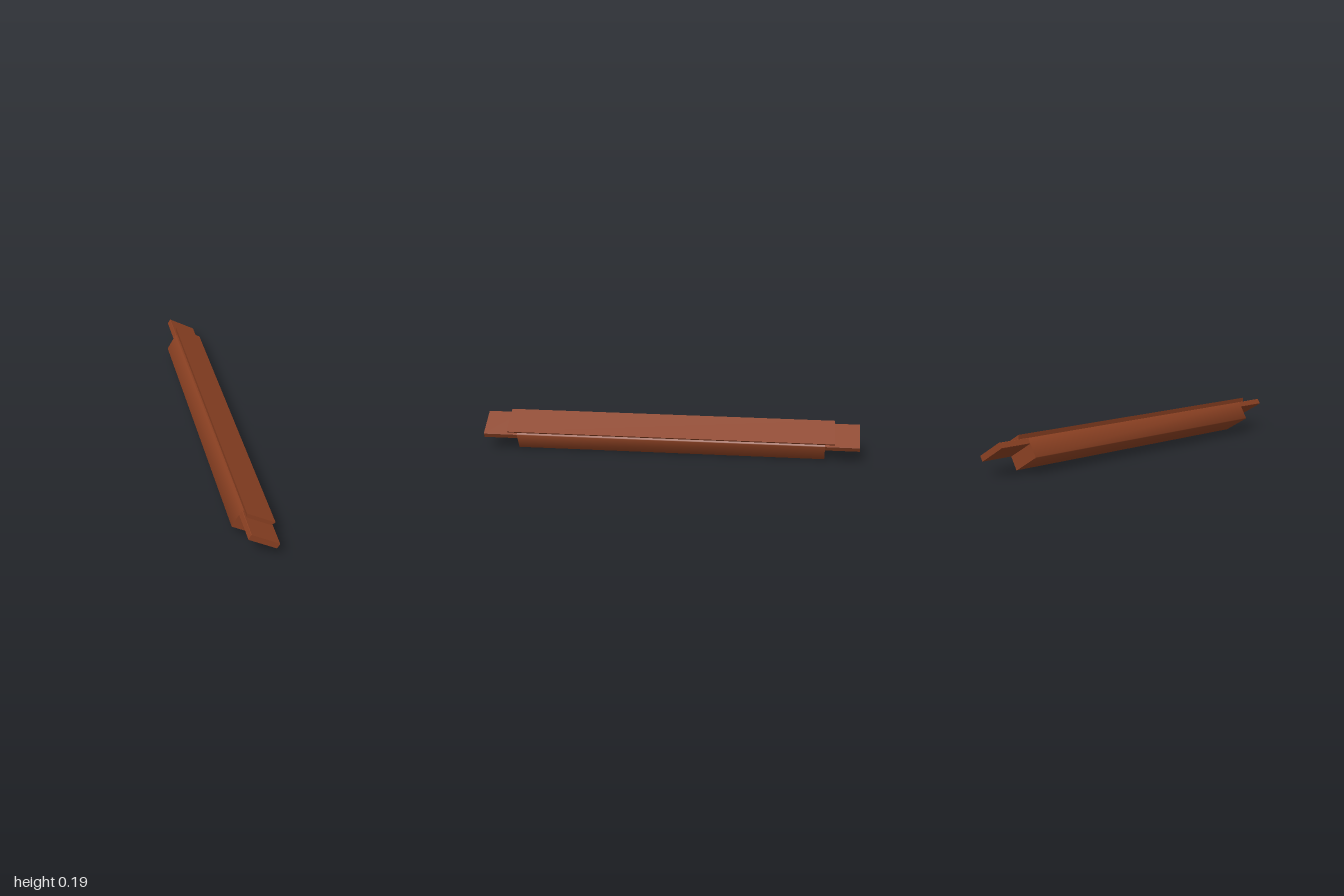
import * as THREE from 'three';
import { toCreasedNormals } from 'three/addons/utils/BufferGeometryUtils.js';

const wood = new THREE.MeshStandardMaterial({ color: 0x8a4022 });
wood.name = 'brown wood';

// Prism along z from a list of cross-section corners
function prism(name, points, z0, z1, crease) {
  const shape = new THREE.Shape(points.map(([x, y]) => new THREE.Vector2(x, y)));
  const raw = new THREE.ExtrudeGeometry(shape, { depth: z1 - z0, bevelEnabled: false });
  raw.translate(0, 0, z0);
  const mesh = new THREE.Mesh(toCreasedNormals(raw, crease), wood);
  mesh.name = name;
  return mesh;
}

// Rectangle with chamfered corners
function chamfered(x0, x1, y0, y1, c) {
  return [
    [x0 + c, y0], [x1 - c, y0], [x1, y0 + c], [x1, y1 - c],
    [x1 - c, y1], [x0 + c, y1], [x0, y1 - c], [x0, y0 + c],
  ];
}

export function createModel() {
  const model = new THREE.Group();
  model.name = 'tiltedBeam';

  // Everything is built upright, then tilted about the long axis
  const beam = new THREE.Group();
  beam.name = 'beam';
  beam.rotation.z = -Math.PI / 6;
  model.add(beam);

  const left = -0.131, right = 0.032, top = 0.124;

  // Main body with softly shaded long edges
  beam.add(prism('body', chamfered(left, right, 0.0185, top, 0.003), -0.82, 0.82, 0.9));

  // Thin tongue at each end
  for (const [name, z0, z1] of [['frontTongue', 0.82, 1], ['backTongue', -1, -0.82]]) {
    beam.add(prism(name, chamfered(left, right, 0.093, top, 0.002), z0, z1, 0.3));
  }

  // Top plate with undercut long sides
  beam.add(prism('topPlate', [
    [left + 0.0125, top], [right - 0.0125, top], [right, 0.146], [left, 0.146],
  ], -0.87, 0.87, 0.3));

  return model;
}
